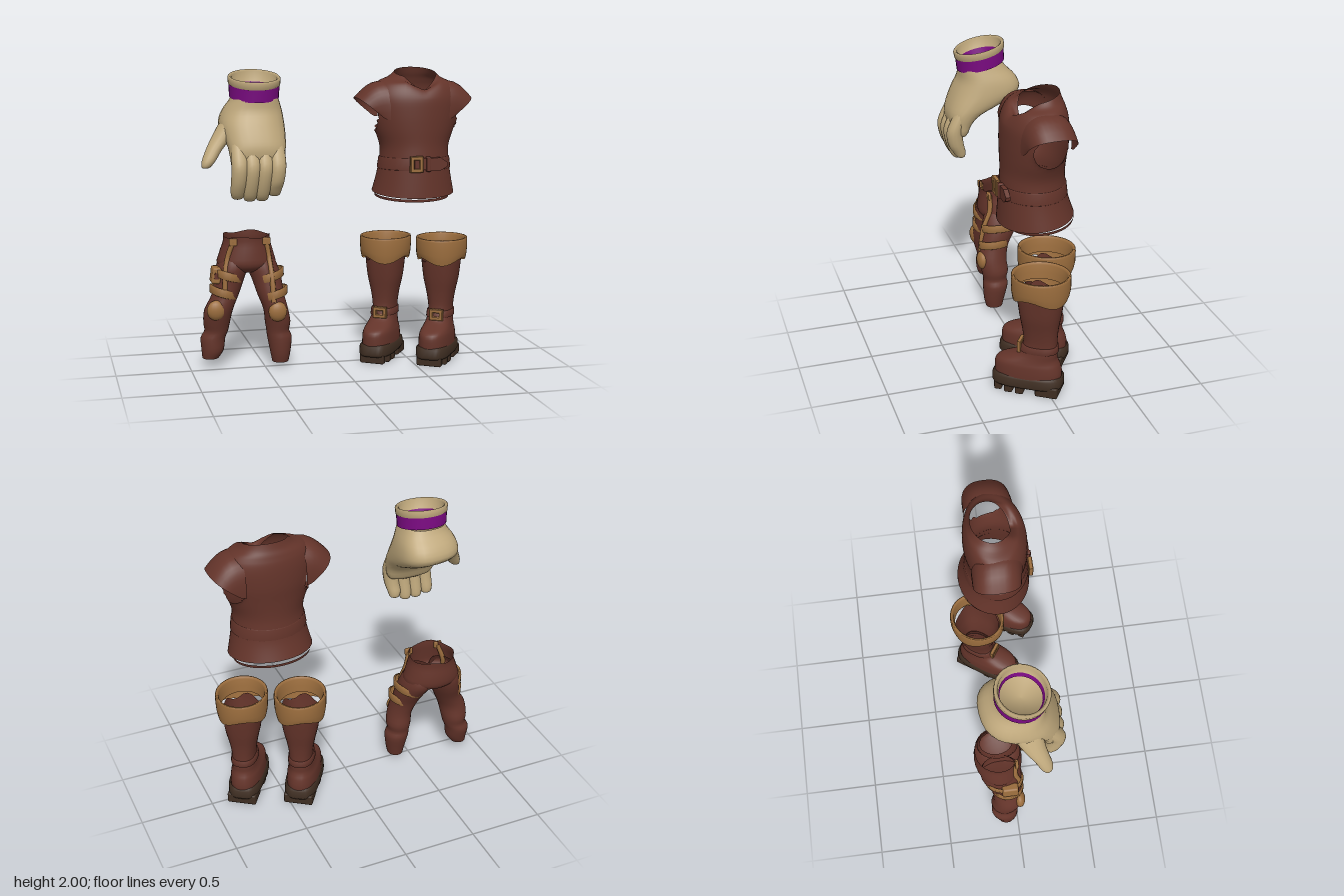
import * as THREE from 'three';
import { RoundedBoxGeometry } from 'three/addons/geometries/RoundedBoxGeometry.js';

const mat = (name, color) => {
  const m = new THREE.MeshStandardMaterial({ color, side: THREE.DoubleSide });
  m.name = name;
  return m;
};

const spow = (v, e) => Math.sign(v) * Math.pow(Math.abs(v), e);

// Catmull-Rom resampling of cross-sections [x, y, z, rx, rz]
function resample(s, sub) {
  const out = [];
  for (let i = 0; i < s.length - 1; i++) {
    const a = s[Math.max(i - 1, 0)], b = s[i], c = s[i + 1], d = s[Math.min(i + 2, s.length - 1)];
    for (let k = 0; k < sub; k++) {
      const t = k / sub;
      out.push(b.map((v, n) => 0.5 * (2 * v + (c[n] - a[n]) * t + (2 * a[n] - 5 * v + 4 * c[n] - d[n]) * t * t
        + (3 * v - a[n] - 3 * c[n] + d[n]) * t * t * t)));
    }
  }
  out.push(s[s.length - 1]);
  return out;
}

// Skin through horizontal oval sections; warp(p, t, angle) bends it, hole cuts side openings
function loft(sections, { seg = 28, sub = 3, power = 2, warp, hole } = {}) {
  const rows = resample(sections, sub), pos = [], idx = [], cut = [];
  rows.forEach(([x, y, z, rx, rz], i) => {
    for (let j = 0; j < seg; j++) {
      const a = j / seg * Math.PI * 2;
      const p = new THREE.Vector3(x + rx * spow(Math.cos(a), 2 / power), y, z + rz * spow(Math.sin(a), 2 / power));
      if (warp) warp(p, i / (rows.length - 1), a);
      let inside = false;
      if (hole) {
        const d = Math.hypot((p.y - hole.y) / hole.ry, (p.z - hole.z) / hole.rz) || 0.001;
        if (d < 1) {
          inside = true;
          p.y = hole.y + (p.y - hole.y) / d;
          p.z = hole.z + (p.z - hole.z) / d;
        }
      }
      cut.push(inside);
      pos.push(p.x, p.y, p.z);
    }
  });
  for (let i = 0; i < rows.length - 1; i++) for (let j = 0; j < seg; j++) {
    const a = i * seg + j, b = i * seg + (j + 1) % seg, c = a + seg, d = b + seg;
    if (cut[a] && cut[b] && cut[c] && cut[d]) continue;
    idx.push(a, c, b, b, c, d);
  }
  return buffer(pos, idx);
}

function buffer(pos, idx) {
  const g = new THREE.BufferGeometry();
  g.setAttribute('position', new THREE.Float32BufferAttribute(pos, 3));
  g.setIndex(idx);
  g.computeVertexNormals();
  return g;
}

function add(parent, name, geo, material, x = 0, y = 0, z = 0) {
  const m = new THREE.Mesh(geo, material);
  m.name = name;
  m.position.set(x, y, z);
  parent.add(m);
  return m;
}

function group(parent, name) {
  const g = new THREE.Group();
  g.name = name;
  parent.add(g);
  return g;
}

// Rectangular buckle frame
function buckleFrame(w, h, t, depth) {
  const rect = (T, a, b) => new T([[-a, -b], [a, -b], [a, b], [-a, b]].map(p => new THREE.Vector2(p[0], p[1])));
  const s = rect(THREE.Shape, w / 2, h / 2);
  s.holes.push(rect(THREE.Path, w / 2 - t, h / 2 - t));
  return new THREE.ExtrudeGeometry(s, { depth, bevelEnabled: true, bevelSize: 0.004, bevelThickness: 0.004, bevelSegments: 1 });
}

const tilt = (kx, kz, cx, cz) => p => { p.y += kx * (p.x - cx) + kz * (p.z - cz); };

export function createModel() {
  const root = new THREE.Group();
  root.name = 'outfitSet';
  const leather = mat('redBrownLeather', 0x64342a), tan = mat('paleTan', 0xbfa87c), trim = mat('goldenBrown', 0x9c6e3e);
  const purple = mat('purple', 0x7b0a82), rubber = mat('darkSole', 0x3f2e22);

  // Glove: palm with a squared heel, fingers, thumb and cuff
  const glove = group(root, 'glove');
  add(glove, 'palm', loft([[-.575, 1.33, .21, 0, 0], [-.575, 1.36, .21, .15, .05], [-.575, 1.44, .2, .176, .08],
    [-.572, 1.51, .165, .187, .12], [-.578, 1.58, .085, .205, .18], [-.583, 1.66, .01, .214, .222],
    [-.575, 1.74, .0, .195, .196], [-.565, 1.81, .03, .16, .16], [-.565, 1.85, .04, .146, .146]], {
    power: 2.5,
    warp: (p, t) => {
      p.z -= .12 * (p.x + .6) * THREE.MathUtils.clamp((.1 - p.z) / .2, 0, 1) * Math.sin(Math.PI * t);
    },
  }), tan);
  [[-.7, -.71, 1.18], [-.618, -.63, 1.165], [-.536, -.55, 1.165], [-.452, -.468, 1.195]].forEach(([xt, xb, b]) => {
    const mid = (xt + xb) / 2;
    add(glove, 'finger', loft([[xb, b, .215, .004, .004], [xb, b + .01, .215, .034, .03], [xb, b + .05, .228, .047, .046],
      [mid, 1.3, .25, .052, .054], [xt, 1.39, .26, .054, .055], [xt, 1.47, .235, .053, .05], [xt, 1.56, .19, .045, .045]],
    { seg: 14 }), tan);
  });
  add(glove, 'thumb', loft([[-.908, 1.382, .17, .004, .004], [-.905, 1.39, .17, .027, .028], [-.885, 1.43, .16, .045, .045],
    [-.845, 1.5, .13, .054, .055], [-.79, 1.57, .09, .068, .075], [-.72, 1.66, .05, .08, .1]], { seg: 16 }), tan);
  const cuffTilt = tilt(0, -.22, -.565, .05);
  add(glove, 'cuffBand', loft([[-.565, 1.83, .038, .163, .163], [-.565, 1.92, .045, .166, .166]], { sub: 1, warp: cuffTilt }), purple);
  add(glove, 'cuffRim', loft([[-.565, 1.91, .045, .16, .16], [-.565, 1.915, .045, .17, .17], [-.565, 1.955, .05, .173, .173],
    [-.565, 1.965, .05, .164, .164], [-.565, 1.955, .05, .148, .148], [-.565, 1.84, .04, .138, .138],
    [-.565, 1.83, .04, 0, 0]], { sub: 1, seg: 32, warp: cuffTilt }), tan);
  add(glove, 'liningBand', loft([[-.565, 1.85, .043, .13, .13], [-.565, 1.89, .046, .14, .14]], { sub: 1, warp: cuffTilt }), purple);

  // Vest: hollow torso with armholes, notched collar and short sleeves
  const vest = group(root, 'vest'), cx = .53;
  add(vest, 'torso', loft([[cx, 1.176, .01, .281, .241], [cx, 1.3, .025, .253, .218], [cx, 1.42, .03, .235, .205],
    [cx, 1.5, .03, .238, .2], [cx, 1.6, .028, .272, .203], [cx, 1.7, .023, .296, .207], [cx, 1.8, .02, .305, .203],
    [cx, 1.87, .012, .285, .187], [cx, 1.915, .003, .245, .164], [cx + .01, 1.942, 0, .18, .143], [cx + .015, 1.972, -.005, .143, .125]],
  {
    seg: 64, sub: 4, hole: { y: 1.69, z: -.01, ry: .105, rz: .122 },
    warp: (p, t) => {
      p.y -= .115 * p.z * Math.max(0, 1 - t * 4);
      p.y -= .25 * p.z * Math.max(0, (t - .78) / .22);
      if (p.z > 0) p.y -= .1 * Math.max(0, (t - .6) / .4) * Math.max(0, 1 - Math.abs(p.x - .56) / .12);
    },
  }), leather);
  for (const s of [-1, 1]) {
    const pos = [], idx = [], n = 20, m = 5, L = THREE.MathUtils.lerp;
    for (let i = 0; i <= m; i++) for (let j = 0; j <= n; j++) {
      const t = i / m, a = (j / n - .5) * 3.5, c = spow(Math.cos(a), .8), sn = spow(Math.sin(a), .8);
      pos.push(cx - .003 + s * L(.2, .29 + .11 * c, t), L(1.72 + .2 * c, 1.72 + .09 * c, t) + .035 * Math.sin(Math.PI * t) * c,
        L(.01 + .165 * sn, .155 * sn, t));
      if (i < m && j < n) {
        const k = i * (n + 1) + j, q = [k, k + n + 1, k + 1, k + 1, k + n + 1, k + n + 2];
        idx.push(...(s > 0 ? q : q.reverse()));
      }
    }
    add(vest, s > 0 ? 'leftSleeve' : 'rightSleeve', buffer(pos, idx), leather);
  }
  add(vest, 'hemStrip', loft([[cx, 1.138, -.015, .255, .215], [cx, 1.157, -.015, .258, .217]],
    { sub: 1, seg: 40, warp: tilt(0, -.11, cx, 0) }), leather);
  add(vest, 'belt', loft([[cx, 1.335, .028, .247, .212], [cx, 1.34, .028, .252, .217], [cx, 1.41, .03, .242, .211],
    [cx, 1.415, .03, .235, .204]], { sub: 1, seg: 40 }), leather);
  // Belt strap with pointed end and its buckle
  const strap = new THREE.Shape([[.47, 1.342], [.65, 1.335], [.695, 1.36], [.7, 1.385], [.65, 1.42], [.47, 1.418]]
    .map(p => new THREE.Vector2(...p)));
  add(vest, 'beltStrap', new THREE.ExtrudeGeometry(strap, { depth: .03, bevelEnabled: false }), leather, 0, 0, .225);
  add(vest, 'beltLoop', new RoundedBoxGeometry(.03, .1, .04, 2, .008), leather, .565, 1.378, .245);
  add(vest, 'beltBuckle', buckleFrame(.08, .1, .018, .022), trim, .482, 1.378, .24);

  // Trousers: open waist and two baggy legs
  const pants = group(root, 'trousers');
  add(pants, 'hips', loft([[-.605, .635, -.1, 0, 0], [-.605, .655, -.1, .09, .1], [-.605, .7, -.105, .195, .155],
    [-.603, .77, -.11, .185, .16], [-.6, .85, -.11, .16, .15], [-.6, .895, -.11, .157, .15]],
  { warp: (p, t, a) => { if (t > .9) p.y += .008 * Math.sin(a * 4); } }), leather);
  const legs = [
    { name: 'rightLeg', out: -1, slope: -.28, bands: [.63, .515], s: [[-.86, .065, -.08, .055, .06], [-.845, .12, -.08, .075, .08],
      [-.84, .2, -.09, .083, .092], [-.818, .25, -.085, .08, .088], [-.815, .31, -.08, .09, .1], [-.803, .4, -.06, .096, .102],
      [-.755, .5, -.07, .09, .105], [-.725, .6, -.09, .1, .125], [-.7, .7, -.1, .105, .14], [-.69, .78, -.11, .08, .11]] },
    { name: 'leftLeg', out: 1, slope: .24, bands: [.62, .505], s: [[-.395, .035, 0, .055, .06], [-.395, .1, 0, .068, .075],
      [-.398, .2, -.01, .083, .09], [-.41, .25, -.01, .077, .085], [-.41, .31, -.01, .086, .097], [-.425, .4, 0, .083, .1],
      [-.455, .5, -.02, .09, .105], [-.475, .6, -.06, .1, .122], [-.505, .7, -.1, .105, .14], [-.52, .78, -.11, .08, .11]] },
  ];
  for (const leg of legs) {
    add(pants, leg.name, loft(leg.s, { seg: 24 }), leather);
    // Straps sit proud on the front and outer side and sink in on the inside
    const fine = resample(leg.s, 8);
    for (const y of leg.bands) {
      const [x, , z, rx, rz] = fine.reduce((a, b) => Math.abs(b[1] - y) < Math.abs(a[1] - y) ? b : a);
      const ring = (dy, o) => [x + leg.out * .021, y + dy, z + .014, rx + o, rz + o];
      add(pants, 'legStrap', loft([ring(-.03, -.015), ring(-.025, 0), ring(.025, 0), ring(.03, -.015)],
        { sub: 1, warp: tilt(leg.slope, 0, x, z) }), trim);
    }
  }
  [[-.83, .41, .016], [-.425, .395, .08]].forEach(([x, y, z]) =>
    add(pants, 'kneePad', new THREE.SphereGeometry(1, 18, 12), trim, x, y, z).scale.set(.063, .068, .038));
  [[[-.71, .87, .004], [-.745, .76, -.008], [-.765, .66, .016], [-.77, .55, .024]],
    [[-.485, .87, .004], [-.47, .76, .006], [-.458, .62, .06], [-.452, .46, .085]]].forEach(pts => {
    const curve = new THREE.CatmullRomCurve3(pts.map(p => new THREE.Vector3(...p)));
    add(pants, 'frontStripe', new THREE.TubeGeometry(curve, 16, .018, 8), trim);
    add(pants, 'waistTab', new RoundedBoxGeometry(.056, .05, .024, 1, .008), trim, pts[0][0], .865, .008);
  });
  const pouch = group(pants, 'pouch');
  pouch.position.set(-.822, .64, -.05);
  pouch.rotation.z = -.12;
  add(pouch, 'pouchBody', new RoundedBoxGeometry(.06, .11, .11, 2, .015), trim);
  add(pouch, 'pouchPatch', new THREE.BoxGeometry(.03, .04, .008), leather, 0, 0, .055);

  // Boots: both turned the same way, one set behind the other
  [['rightBoot', .335, -.06], ['leftBoot', .69, .1]].forEach(([name, x, z]) => {
    const boot = group(root, name);
    boot.position.set(x, 0, z);
    boot.rotation.y = -.6;
    add(boot, 'upper', loft([[0, .1, 0, .108, .222], [0, .15, 0, .108, .224], [0, .2, .003, .104, .217], [0, .228, -.005, .097, .197],
      [0, .255, -.035, .09, .158], [0, .29, -.068, .084, .125], [0, .36, -.08, .079, .11], [0, .46, -.08, .093, .117],
      [0, .56, -.08, .115, .134], [0, .65, -.08, .126, .146], [0, .71, -.08, .132, .152]],
    { power: 2.4, seg: 32, warp: (p, t, a) => { if (t > .98) p.y += .025 * Math.sin(a * 5); } }), leather);
    add(boot, 'cuff', loft([[0, .695, -.08, .162, .18], [0, .745, -.08, .172, .191], [0, .835, -.08, .175, .193],
      [0, .85, -.08, .167, .185], [0, .835, -.08, .152, .17], [0, .74, -.08, .142, .16]],
    { sub: 2, seg: 36, warp: (p, t, a) => { p.y += Math.max(0, 1 - t * 3) * .022 * Math.sin(a * 3 + 1); } }), trim);
    // Lugged sole
    add(boot, 'sole', loft([[0, .05, 0, 0, 0], [0, .05, 0, .108, .228], [0, .065, 0, .116, .236], [0, .115, 0, .114, .234],
      [0, .13, 0, .1, .215]], { sub: 1, seg: 36, power: 3.2 }), rubber);
    [[-.145, .2, .15], [.035, .21, .055], [.11, .205, .055], [.185, .17, .05]].forEach(([v, w, l]) =>
      add(boot, 'soleLug', new RoundedBoxGeometry(w, .075, l, 1, .01), rubber, 0, .0375, v));
    // Ankle strap and buckle
    add(boot, 'ankleStrap', loft([[0, .3, -.07, .08, .12], [0, .303, -.072, .09, .13], [0, .345, -.077, .087, .121],
      [0, .348, -.077, .076, .108]], { sub: 1, power: 2.4 }), leather);
    add(boot, 'ankleBuckle', buckleFrame(.088, .07, .018, .02), trim, .005, .325, .04);
  });
  return root;
}
